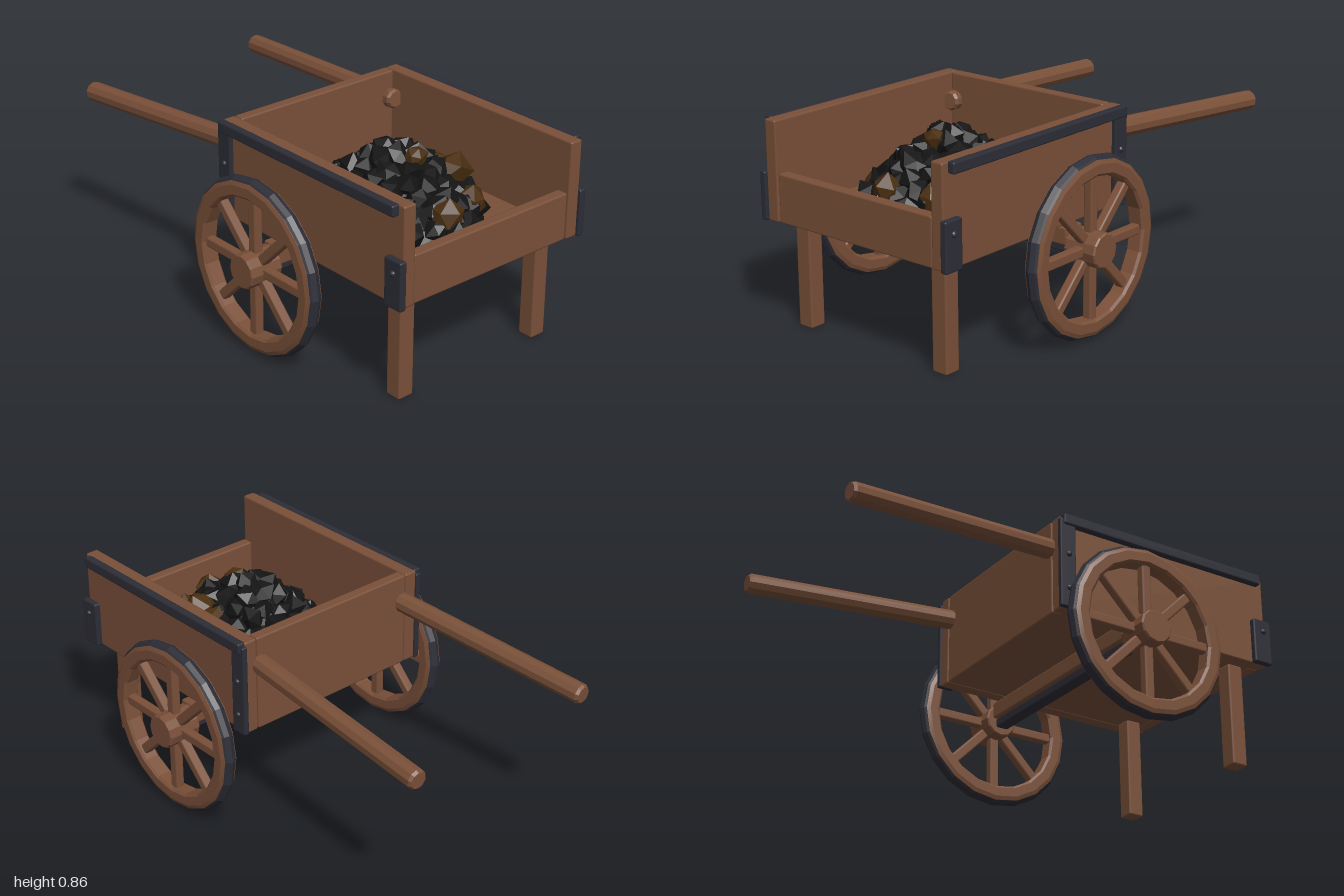
import * as THREE from 'three';
import { toCreasedNormals } from 'three/addons/utils/BufferGeometryUtils.js';
import { RoundedBoxGeometry } from 'three/addons/geometries/RoundedBoxGeometry.js';

const material = (name, color) => Object.assign(new THREE.MeshStandardMaterial({ color }), { name });

export function createModel() {
  const wood = material('wood', 0x7a5039);
  const iron = material('iron', 0x2d2d37);
  const coal = material('coal', 0x141414);
  const ore = material('ochre ore', 0x4a2e10);
  const cart = new THREE.Group();
  cart.name = 'handcart';

  let seed = 7;
  const rand = () => (seed = (seed * 16807) % 2147483647) / 2147483647;

  const add = (name, geometry, mat, parent = cart) => {
    const mesh = new THREE.Mesh(geometry, mat);
    mesh.name = name;
    parent.add(mesh);
    return mesh;
  };
  // Bevelled box given by its extents on each axis
  const box = (name, mat, [x0, x1], [y0, y1], [z0, z1], parent = cart) => {
    const size = [x1 - x0, y1 - y0, z1 - z0];
    const g = new RoundedBoxGeometry(...size, 1, Math.min(0.008, Math.min(...size) / 4));
    g.translate((x0 + x1) / 2, (y0 + y1) / 2, (z0 + z1) / 2);
    return add(name, g, mat, parent);
  };
  const mirrorX = (s, a, b) => (s > 0 ? [a, b] : [-b, -a]);
  const flat = (g) => {
    const n = g.index ? g.toNonIndexed() : g;
    n.computeVertexNormals();
    return n;
  };
  const lathe = (points, sides) =>
    toCreasedNormals(new THREE.LatheGeometry(points.map(([r, y]) => new THREE.Vector2(r, y)), sides), 0.2);

  // Tray
  box('floor', wood, [-0.41, 0.41], [0.45, 0.49], [-0.05, 0.97]);
  box('frontBoard', wood, [-0.4, 0.4], [0.445, 0.645], [0.93, 0.98]);
  box('backBoard', wood, [-0.4, 0.4], [0.445, 0.855], [-0.06, -0.01]);

  // Axle beam with iron bar beneath
  box('axleBeam', wood, [-0.49, 0.49], [0.375, 0.447], [0.225, 0.325]);
  box('axleBar', iron, [-0.5, 0.5], [0.34, 0.38], [0.245, 0.305]);

  // Wheel profiles as [radius, offset along axle]
  const rim = lathe([[0.29, -0.028], [0.3, -0.037], [0.338, -0.037], [0.354, -0.03], [0.354, 0.03],
    [0.338, 0.037], [0.3, 0.037], [0.29, 0.028], [0.29, -0.028]], 20);
  const tyre = lathe([[0.35, -0.031], [0.362, -0.02], [0.371, 0], [0.362, 0.02], [0.35, 0.031]], 20);
  const hub = lathe([[0, -0.075], [0.066, -0.075], [0.072, -0.069], [0.072, 0.069], [0.066, 0.075], [0, 0.075]], 12);
  const rivet = flat(new THREE.IcosahedronGeometry(0.014, 1));

  for (const s of [1, -1]) {
    const side = s > 0 ? 'left' : 'right';
    box(side + 'SideBoard', wood, mirrorX(s, 0.402, 0.46), [0.445, 0.855], [-0.06, 0.985]);
    box(side + 'Leg', wood, mirrorX(s, 0.322, 0.395), [0, 0.45], [0.833, 0.905]);

    // Iron fittings
    box(side + 'TopStrip', iron, mirrorX(s, 0.455, 0.49), [0.81, 0.857], [-0.055, 0.955]);
    box(side + 'BackPlate', iron, mirrorX(s, 0.455, 0.48), [0.445, 0.84], [-0.068, 0.005]);
    box(side + 'FrontPlate', iron, mirrorX(s, 0.455, 0.486), [0.445, 0.645], [0.908, 0.998]);
    for (const [y, z, x] of [[0.59, 0.955, 0.483], [0.68, -0.03, 0.476], [0.53, -0.03, 0.476]])
      add(side + 'Rivet', rivet, iron).position.set(s * x, y, z);

    // Handle, passing through the back board
    const start = new THREE.Vector3(s * 0.378, 0.741, 0.03);
    const end = new THREE.Vector3(s * 0.444, 0.68, -0.998);
    const length = start.distanceTo(end), h = length / 2;
    const handle = add(side + 'Handle', lathe([[0, -h], [0.034, -h], [0.042, -h + 0.012],
      [0.042, h - 0.012], [0.034, h], [0, h]], 10), wood);
    handle.position.copy(start).add(end).multiplyScalar(0.5);
    handle.quaternion.setFromUnitVectors(new THREE.Vector3(0, 1, 0), end.sub(start).normalize());

    // Wheel, built around y and turned onto the axle
    const wheel = new THREE.Group();
    wheel.name = side + 'Wheel';
    add('rim', rim, wood, wheel);
    add('tyre', tyre, iron, wheel);
    add('hub', hub, wood, wheel);
    for (let i = 0; i < 8; i++)
      box('spoke', wood, [0.05, 0.3], [-0.02, 0.02], [-0.021, 0.021], wheel).rotation.y = 0;
    wheel.children.filter((c) => c.name === 'spoke').forEach((spoke, i) => (spoke.rotation.y = i * Math.PI / 4));
    wheel.rotation.z = Math.PI / 2;
    wheel.position.set(s * 0.567, 0.375, 0.272);
    cart.add(wheel);
  }

  // Coal heap: a mound covered in angular lumps
  const heapHeight = (r) => 0.49 + 0.3 * Math.pow(Math.max(0, 1 - r), 0.8);
  const profile = [1, 0.8, 0.6, 0.4, 0.2, 0].map((r) => new THREE.Vector2(r, heapHeight(r)));
  const mound = new THREE.LatheGeometry(profile, 14);
  mound.scale(0.31, 1, 0.39);
  mound.translate(0, 0, 0.45);
  add('coalMound', flat(mound), coal);

  const lump = (name, mat, x, y, z, size) => {
    const g = new THREE.IcosahedronGeometry(size, 0);
    const p = g.attributes.position, v = new THREE.Vector3();
    const phase = rand() * 6;
    // Same push for coincident corners, so the lump stays closed
    for (let i = 0; i < p.count; i++) {
      v.fromBufferAttribute(p, i);
      const k = 1 + 0.2 * Math.sin((v.x * 3 + v.y * 5 + v.z * 7) / size + phase);
      p.setXYZ(i, v.x * k, v.y * k * 0.85, v.z * k);
    }
    const mesh = add(name, flat(g), mat);
    mesh.position.set(x, y, z);
    mesh.rotation.set(rand() * 6, rand() * 6, rand() * 6);
  };
  const onHeap = (x, z) => heapHeight(Math.hypot(x / 0.31, (z - 0.45) / 0.39));
  for (let i = 0; i < 75; i++) {
    const r = 0.92 * Math.sqrt((i + 0.5) / 75), a = i * 2.39996;
    const x = 0.31 * r * Math.cos(a), z = 0.45 + 0.39 * r * Math.sin(a);
    lump('coalLump', coal, x, onHeap(x, z) - 0.005, z, 0.05 + 0.018 * rand());
  }
  lump('coalLump', coal, 0.05, 0.53, 0.06, 0.06);
  lump('coalLump', coal, -0.3, 0.54, 0.23, 0.065);
  lump('coalLump', coal, 0.25, 0.55, 0.22, 0.065);
  for (const [x, z, size] of [[0.11, 0.13, 0.06], [-0.31, 0.54, 0.065], [0.18, 0.56, 0.085],
    [-0.03, 0.77, 0.07], [0.16, 0.71, 0.065], [0.01, 0.54, 0.05], [0.2, 0.48, 0.06]])
    lump('oreLump', ore, x, onHeap(x, z) + 0.03, z, size);

  return cart;
}
